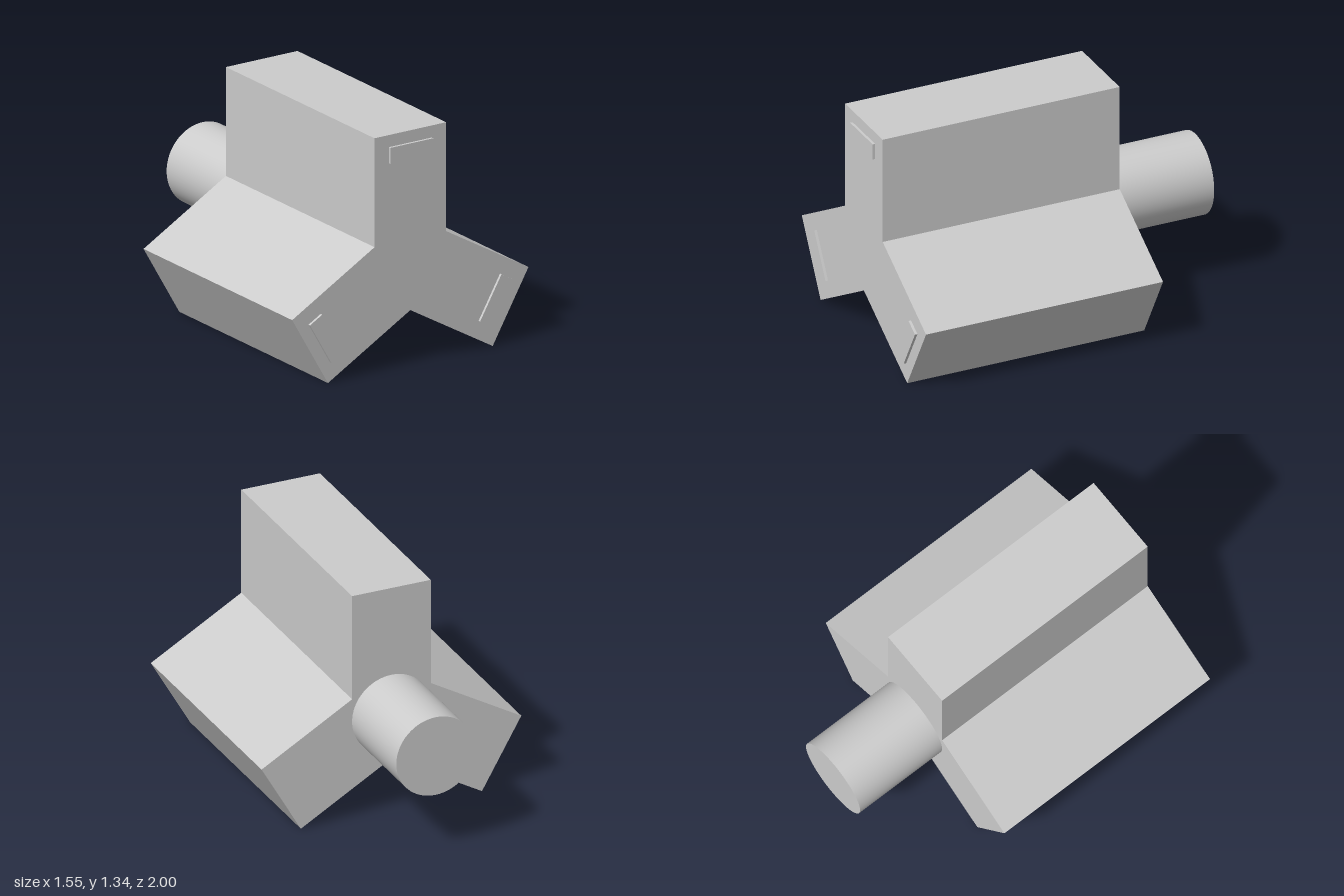
import * as THREE from 'three';

const HALF = 0.234;   // half width of an arm
const REACH = 0.757;  // from the axis to the end of an arm
const AXIS_Y = 0.581;
const BACK = -0.434, FRONT = 0.985;

export function createModel() {
  const model = new THREE.Group();
  const material = new THREE.MeshStandardMaterial({ color: 0xcccccc });
  const add = (name, geometry, parent = model) => {
    const mesh = new THREE.Mesh(geometry, material);
    mesh.name = name;
    parent.add(mesh);
    return mesh;
  };
  const angles = [0, 1, 2].map((i) => (i * Math.PI * 2) / 3);
  const centre = new THREE.Vector2();

  // Three-armed body: each arm gives two outer corners and one inner corner
  const outline = angles.flatMap((angle) => [
    [HALF, REACH], [-HALF, REACH], [-HALF, HALF / Math.sqrt(3)],
  ].map(([x, y]) => new THREE.Vector2(x, y).rotateAround(centre, angle)));
  const body = add('body', new THREE.ExtrudeGeometry(new THREE.Shape(outline), {
    depth: FRONT - BACK, bevelEnabled: false,
  }));
  body.position.set(0, AXIS_Y, BACK);

  // Round shaft at the back
  const shaftLength = 1 + BACK;
  const shaft = add('rearShaft', new THREE.CylinderGeometry(HALF, HALF, shaftLength, 64).rotateX(Math.PI / 2));
  shaft.position.set(0, AXIS_Y, BACK - shaftLength / 2);

  // Thin raised pad near the end of each arm
  angles.forEach((angle, i) => {
    const pivot = new THREE.Group();
    pivot.name = ['topPad', 'rightPad', 'leftPad'][i];
    pivot.position.y = AXIS_Y;
    pivot.rotation.z = angle;
    const pad = add('pad', new THREE.BoxGeometry(0.28, 0.092, 1 - FRONT), pivot);
    pad.position.set(0, 0.642, (1 + FRONT) / 2);
    model.add(pivot);
  });

  return model;
}
